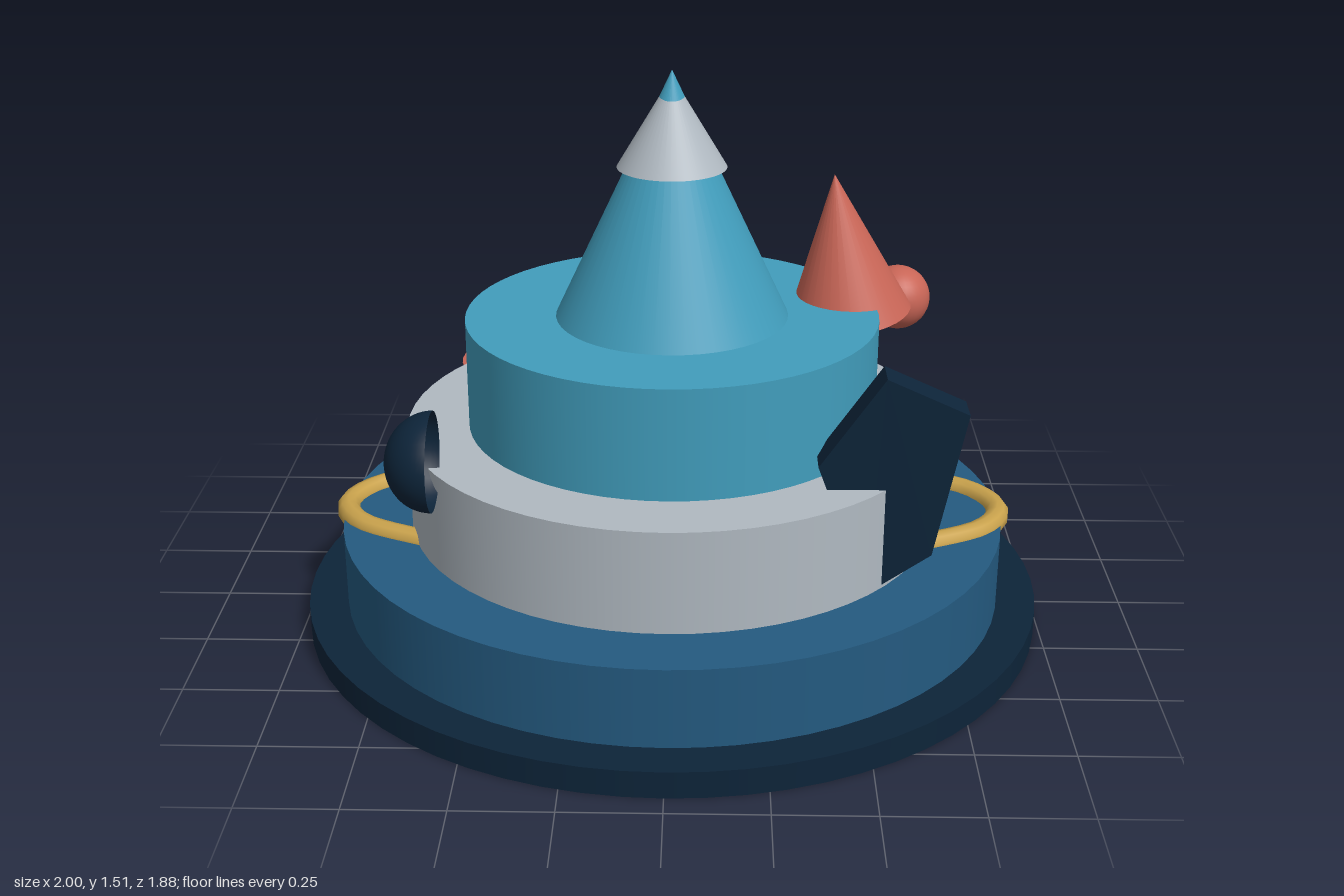
import * as THREE from 'three';

const mat = (name, color, side = THREE.FrontSide) => {
  const m = new THREE.MeshStandardMaterial({ color, side });
  m.name = name;
  return m;
};

export function createModel() {
  const model = new THREE.Group();
  const navy = mat('navy', 0x0d2439, THREE.DoubleSide);
  const blue = mat('deep blue', 0x245a80);
  const teal = mat('teal', 0x419dbc);
  const grey = mat('pale grey', 0xb0b9c1);
  const coral = mat('coral', 0xc86556, THREE.DoubleSide);
  const gold = mat('gold', 0xc9a24c);

  const add = (name, geometry, material) => {
    const mesh = new THREE.Mesh(geometry, material);
    mesh.name = name;
    model.add(mesh);
    return mesh;
  };

  // Stacked oval tiers: name, x radius, z radius, bottom, top, material
  const tiers = [
    ['basePlate', 1, 0.942, 0, 0.072, navy],
    ['lowerTier', 0.895, 0.843, 0.072, 0.286, blue],
    ['middleTier', 0.709, 0.68, 0.286, 0.56, grey],
    ['upperTier', 0.545, 0.515, 0.56, 0.857, teal],
  ];
  for (const [name, rx, rz, y0, y1, material] of tiers) {
    const tier = add(name, new THREE.CylinderGeometry(1, 1, y1 - y0, 64), material);
    tier.scale.set(rx, 1, rz);
    tier.position.y = (y0 + y1) / 2;
  }

  // Central peak and its pale cap
  const cone = (name, rx, rz, y0, y1, material) => {
    const mesh = add(name, new THREE.ConeGeometry(1, y1 - y0, 48), material);
    mesh.scale.set(rx, 1, rz);
    mesh.position.y = (y0 + y1) / 2;
  };
  cone('peak', 0.306, 0.299, 0.857, 1.51, teal);
  cone('peakCap', 0.142, 0.136, 1.258, 1.495, grey);

  // Leaning coral cone
  const foot = new THREE.Vector3(0.48, 0.805, -0.163);
  const tip = new THREE.Vector3(0.427, 1.197, -0.146);
  const axis = tip.clone().sub(foot);
  const leaning = add('leaningCone', new THREE.ConeGeometry(0.167, axis.length(), 32), coral);
  leaning.position.copy(foot).lerp(tip, 0.5);
  leaning.quaternion.setFromUnitVectors(new THREE.Vector3(0, 1, 0), axis.normalize());

  // Coral ball beside the cone
  add('ball', new THREE.SphereGeometry(0.09, 32, 20), coral).position.set(0.63, 0.78, -0.348);

  // Thin coral shelf at the back
  const shelf = add('backShelf', new THREE.CircleGeometry(1, 40), coral);
  shelf.rotation.x = -Math.PI / 2;
  shelf.scale.set(0.269, 0.235, 1);
  shelf.position.set(-0.362, 0.521, -0.5);

  // Navy half dome bulging to the side
  const dome = add('sideDome',
    new THREE.SphereGeometry(0.127, 32, 16, 0, Math.PI * 2, 0, Math.PI / 2), navy);
  dome.rotation.z = Math.PI / 2;
  dome.scale.y = 0.93;
  dome.position.set(-0.583, 0.627, 0.444);

  // Navy five-sided slab at the front
  const outline = [[0.53, 0.856], [0.37, 0.62], [0.5, 0.268], [0.66, 0.38], [0.735, 0.763]];
  const slabShape = new THREE.Shape(outline.map(([x, y]) => new THREE.Vector2(x, y)));
  add('frontSlab', new THREE.ExtrudeGeometry(slabShape, { depth: 0.088, bevelEnabled: false }), navy)
    .position.z = 0.354;

  // Gold loop handles on both sides
  for (const side of [1, -1]) {
    const path = new THREE.CatmullRomCurve3(
      [[0.6, -0.23], [0.665, -0.205], [0.835, -0.115], [0.893, 0],
        [0.835, 0.115], [0.665, 0.205], [0.6, 0.23]]
        .map(([x, z]) => new THREE.Vector3(side * x, 0.282, z)));
    add(side > 0 ? 'leftHandle' : 'rightHandle',
      new THREE.TubeGeometry(path, 20, 0.032, 10), gold);
  }
  return model;
}
